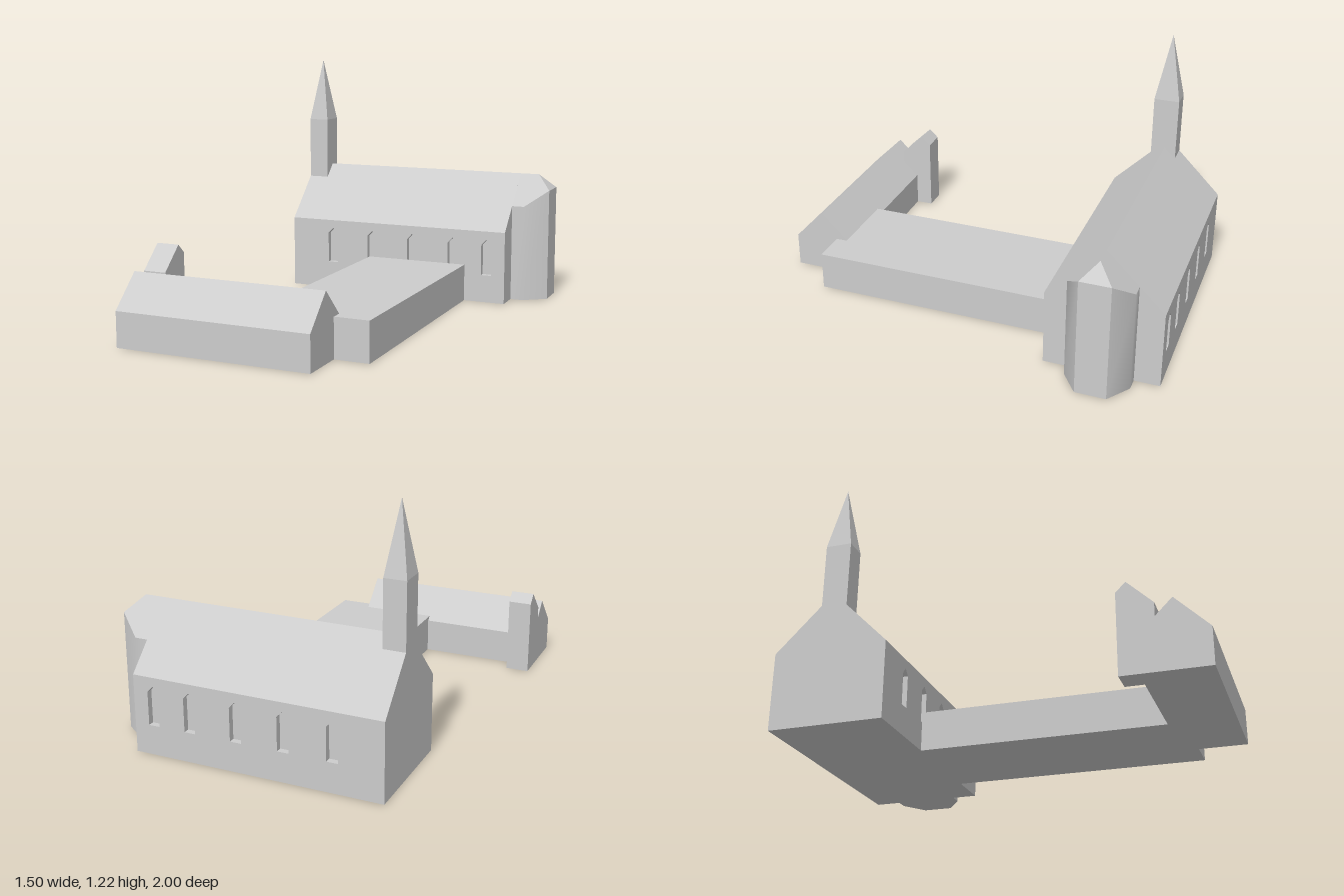
import * as THREE from 'three';
import { toCreasedNormals } from 'three/addons/utils/BufferGeometryUtils.js';

const stone = new THREE.MeshStandardMaterial({ color: 0xcccccc });
stone.name = 'pale grey stone';

function add(parent, name, geometry) {
  const mesh = new THREE.Mesh(geometry, stone);
  mesh.name = name;
  parent.add(mesh);
  return mesh;
}

// Box given by its limits on each axis
function box(x0, x1, y0, y1, z0, z1) {
  return new THREE.BoxGeometry(x1 - x0, y1 - y0, z1 - z0)
    .translate((x0 + x1) / 2, (y0 + y1) / 2, (z0 + z1) / 2);
}

// Side profile of [z, y] points, extruded from x0 to x1
function prism(profile, x0, x1) {
  const shape = new THREE.Shape(profile.map(([z, y]) => new THREE.Vector2(-z, y)));
  return new THREE.ExtrudeGeometry(shape, { depth: x1 - x0, bevelEnabled: false })
    .rotateY(Math.PI / 2).translate(x0, 0, 0);
}

// Solid from convex polygons, each split into a fan of triangles
function solid(polygons) {
  const positions = [];
  for (const p of polygons) {
    for (let i = 1; i < p.length - 1; i++) positions.push(...p[0], ...p[i], ...p[i + 1]);
  }
  const g = new THREE.BufferGeometry();
  g.setAttribute('position', new THREE.Float32BufferAttribute(positions, 3));
  return toCreasedNormals(g, THREE.MathUtils.degToRad(40));
}

// Long wall pierced by five pointed windows
function windowWall(x0, x1, height, depth) {
  const wall = new THREE.Shape([[x0, 0], [x1, 0], [x1, height], [x0, height]]
    .map(([x, y]) => new THREE.Vector2(x, y)));
  for (const x of [-0.38, -0.152, 0.074, 0.3, 0.481]) {
    const w = 0.027;
    wall.holes.push(new THREE.Path([
      [x - w, 0.14], [x - w, 0.297], [x, 0.325], [x + w, 0.297], [x + w, 0.14],
    ].map(([a, b]) => new THREE.Vector2(a, b))));
  }
  return new THREE.ExtrudeGeometry(wall, { depth, bevelEnabled: false });
}

// Many-sided east end with a hipped roof, about z = 0
function apse() {
  const x0 = 0.578, x1 = 0.64, x2 = 0.75, ridgeX = 0.675;
  const ridge = 0.64, a = 0.152, b = 0.073;
  const ya = ridge - a, yb = ridge - b;
  const side = [
    [[x0, 0, a], [x1, 0, a], [x1, ya, a], [x0, ya, a]],
    [[x1, 0, a], [x2, 0, b], [x2, yb, b], [x1, ya, a]],
    [[x0, ya, a], [x1, ya, a], [x2, yb, b], [ridgeX, ridge, 0], [x0, ridge, 0]],
  ];
  const mirrored = side.map((p) => p.map(([x, y, z]) => [x, y, -z]).reverse());
  return solid([
    ...side, ...mirrored,
    [[x2, 0, b], [x2, 0, -b], [x2, yb, -b], [x2, yb, b]],
    [[x2, yb, b], [x2, yb, -b], [ridgeX, ridge, 0]],
    [[x0, 0, -a], [x1, 0, -a], [x2, 0, -b], [x2, 0, b], [x1, 0, a], [x0, 0, a]],
  ]);
}

export function createModel() {
  const model = new THREE.Group();
  model.name = 'churchComplex';

  // Church: core and roof, window walls, apse
  const church = new THREE.Group();
  church.name = 'church';
  model.add(church);
  const west = -0.613, east = 0.578, eaves = 0.368;
  const back = -1, front = -0.455, mid = (back + front) / 2, niche = 0.03;
  add(church, 'naveAndRoof', prism([
    [back + niche, 0], [back + niche, eaves], [back, eaves], [mid, 0.64],
    [front, eaves], [front - niche, eaves], [front - niche, 0],
  ], west, east));
  add(church, 'frontWindowWall', windowWall(west, east, eaves, niche)).position.z = front - niche;
  add(church, 'backWindowWall', windowWall(west, east, eaves, niche)).position.z = back;
  add(church, 'apse', apse()).position.z = mid;

  // Bell tower and spire
  const tx = -0.561, tz = -0.722, tw = 0.104, td = 0.124;
  add(church, 'bellTower', box(tx - tw / 2, tx + tw / 2, 0.45, 0.89, tz - td / 2, tz + td / 2));
  const spire = new THREE.ConeGeometry(Math.SQRT1_2, 0.325, 4).rotateY(Math.PI / 4)
    .scale(tw, 1, td).translate(tx, 0.89 + 0.1625, tz).toNonIndexed();
  spire.computeVertexNormals();
  add(church, 'spire', spire);

  // Flat-roofed link between the two buildings
  add(model, 'linkBuilding', box(-0.165, 0.365, 0, 0.187, front, 0.775));

  // Low front house with its small gabled tower
  add(model, 'frontHouse', prism(
    [[0.7, 0], [0.7, 0.167], [0.85, 0.316], [1, 0.167], [1, 0]], -0.752, 0.199));
  add(model, 'smallTower', prism(
    [[0.617, 0], [0.617, 0.369], [0.662, 0.412], [0.775, 0.303], [0.775, 0]], -0.752, -0.639));

  return model;
}
